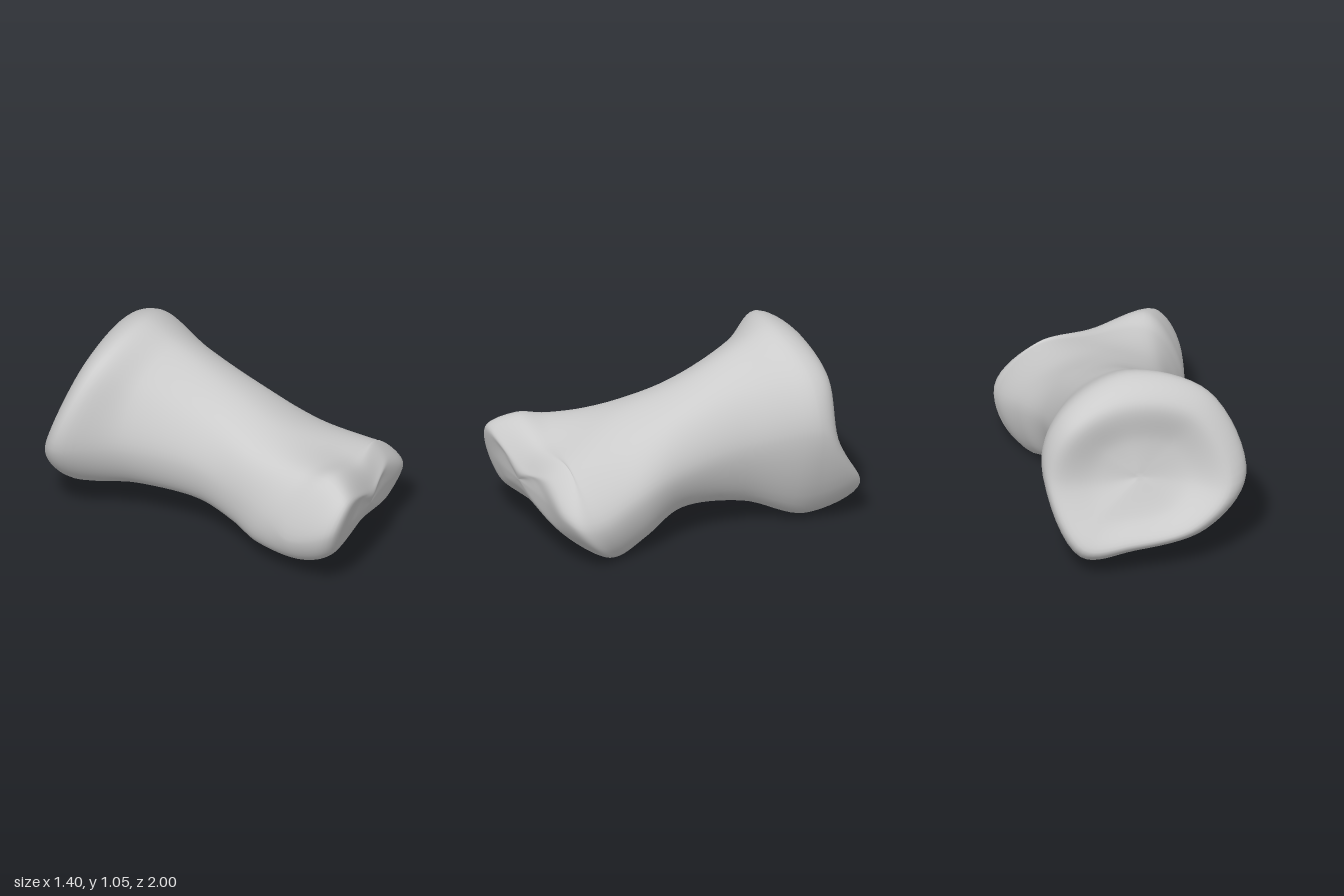
import * as THREE from 'three';
import { mergeVertices } from 'three/addons/utils/BufferGeometryUtils.js';

// Cross-sections run counterclockwise seen from the front, starting at +x.
const ring = (...pts) => pts.map((p) => new THREE.Vector3(...p));

// A cross-section on a plane leaning forward or back with height
const slice = (z, lean, ...pts) => ring(...pts.map(([x, y]) => [x, y, z + lean * (y - 0.4)]));

// Smooth surface through closed sections, from back to front
function loft(sections, around, steps) {
  const rings = sections.map((pts) => {
    const curve = new THREE.CatmullRomCurve3(pts, true);
    return Array.from({ length: around }, (_, j) => curve.getPoint(j / around));
  });
  const rows = (rings.length - 1) * steps;
  const pos = [];
  const index = [];
  const lines = rings[0].map((_, j) => new THREE.CatmullRomCurve3(rings.map((r) => r[j])));
  for (let i = 0; i <= rows; i++) {
    for (const line of lines) pos.push(...line.getPoint(i / rows).toArray());
  }
  for (let i = 0; i < rows; i++) {
    for (let j = 0; j < around; j++) {
      const k = (j + 1) % around;
      const a = i * around + j, b = i * around + k;
      index.push(a, b, b + around, a, b + around, a + around);
    }
  }
  const geo = new THREE.BufferGeometry();
  geo.setAttribute('position', new THREE.Float32BufferAttribute(pos, 3));
  geo.setIndex(index);
  const merged = mergeVertices(geo, 1e-4);
  merged.computeVertexNormals();
  return merged;
}

export function createModel() {
  const group = new THREE.Group();
  group.name = 'bone';

  // Back joint face: steep above, sloping out to a lip below
  const backCentre = Array(8).fill(new THREE.Vector3(-0.13, 0.52, -0.76));
  const backDish = ring(
    [0.1, 0.5, -0.81], [0.05, 0.67, -0.77], [-0.1, 0.72, -0.73], [-0.3, 0.67, -0.68],
    [-0.38, 0.48, -0.71], [-0.3, 0.36, -0.8], [-0.1, 0.33, -0.87], [0.05, 0.35, -0.89]);
  const backLip = ring(
    [0.34, 0.52, -0.85], [0.22, 0.83, -0.82], [-0.07, 0.95, -0.73], [-0.44, 0.85, -0.67],
    [-0.62, 0.47, -0.75], [-0.45, 0.27, -0.87], [-0.1, 0.2, -0.97], [0.17, 0.18, -1]);

  // Widest outline of the back end
  const rim = ring(
    [0.4, 0.57, -0.74], [0.29, 0.87, -0.7], [-0.06, 1.045, -0.56], [-0.5, 0.92, -0.53],
    [-0.7, 0.48, -0.64], [-0.5, 0.2, -0.7], [-0.1, 0.1, -0.78], [0.18, 0.03, -0.7]);

  // Shaft, narrowing and then spreading to the front knuckles
  const shaft = [
    slice(-0.35, 0,
      [0.355, 0.5], [0.25, 0.8], [-0.02, 0.95], [-0.34, 0.82],
      [-0.48, 0.5], [-0.36, 0.24], [-0.05, 0.15], [0.2, 0.14]),
    slice(0, 0,
      [0.42, 0.42], [0.3, 0.68], [0.05, 0.78], [-0.18, 0.7],
      [-0.31, 0.46], [-0.24, 0.22], [0.03, 0.16], [0.3, 0.17]),
    slice(0.28, 0.2,
      [0.56, 0.34], [0.4, 0.55], [0.08, 0.66], [-0.18, 0.6],
      [-0.28, 0.38], [-0.23, 0.17], [0.1, 0.12], [0.44, 0.08]),
  ];

  // Knuckles: a taller one on the right, a wider lower one on the left
  const knuckles = [
    slice(0.57, 0.5,
      [0.68, 0.26], [0.5, 0.5], [0.2, 0.56], [-0.14, 0.59],
      [-0.3, 0.35], [-0.26, 0.13], [0.12, 0.09], [0.5, 0.005]),
    ring(
      [0.7, 0.27, 0.62], [0.47, 0.52, 0.65], [0.2, 0.535, 0.77], [-0.13, 0.61, 0.83],
      [-0.32, 0.28, 0.7], [-0.24, 0.13, 0.74], [0.14, 0.11, 0.66], [0.6, 0.06, 0.5]),
  ];

  // Front joint face, swelling gently in the middle
  const frontRim = ring(
    [0.63, 0.3, 0.7], [0.45, 0.45, 0.75], [0.22, 0.44, 0.84], [-0.14, 0.54, 0.985],
    [-0.25, 0.38, 0.97], [-0.19, 0.2, 0.9], [0.14, 0.21, 0.8], [0.54, 0.17, 0.68]);
  const frontFace = ring(
    [0.42, 0.32, 0.77], [0.32, 0.4, 0.81], [0.2, 0.4, 0.87], [0.02, 0.45, 0.93],
    [-0.06, 0.36, 0.94], [-0.03, 0.28, 0.91], [0.15, 0.28, 0.85], [0.38, 0.24, 0.77]);
  const frontCentre = Array(8).fill(new THREE.Vector3(0.17, 0.35, 0.87));

  const sections = [backCentre, backDish, backLip, rim, ...shaft, ...knuckles,
    frontRim, frontFace, frontCentre];
  const mesh = new THREE.Mesh(loft(sections, 64, 8),
    new THREE.MeshStandardMaterial({ color: 0xcccccc }));
  mesh.name = 'boneBody';
  group.add(mesh);
  return group;
}
